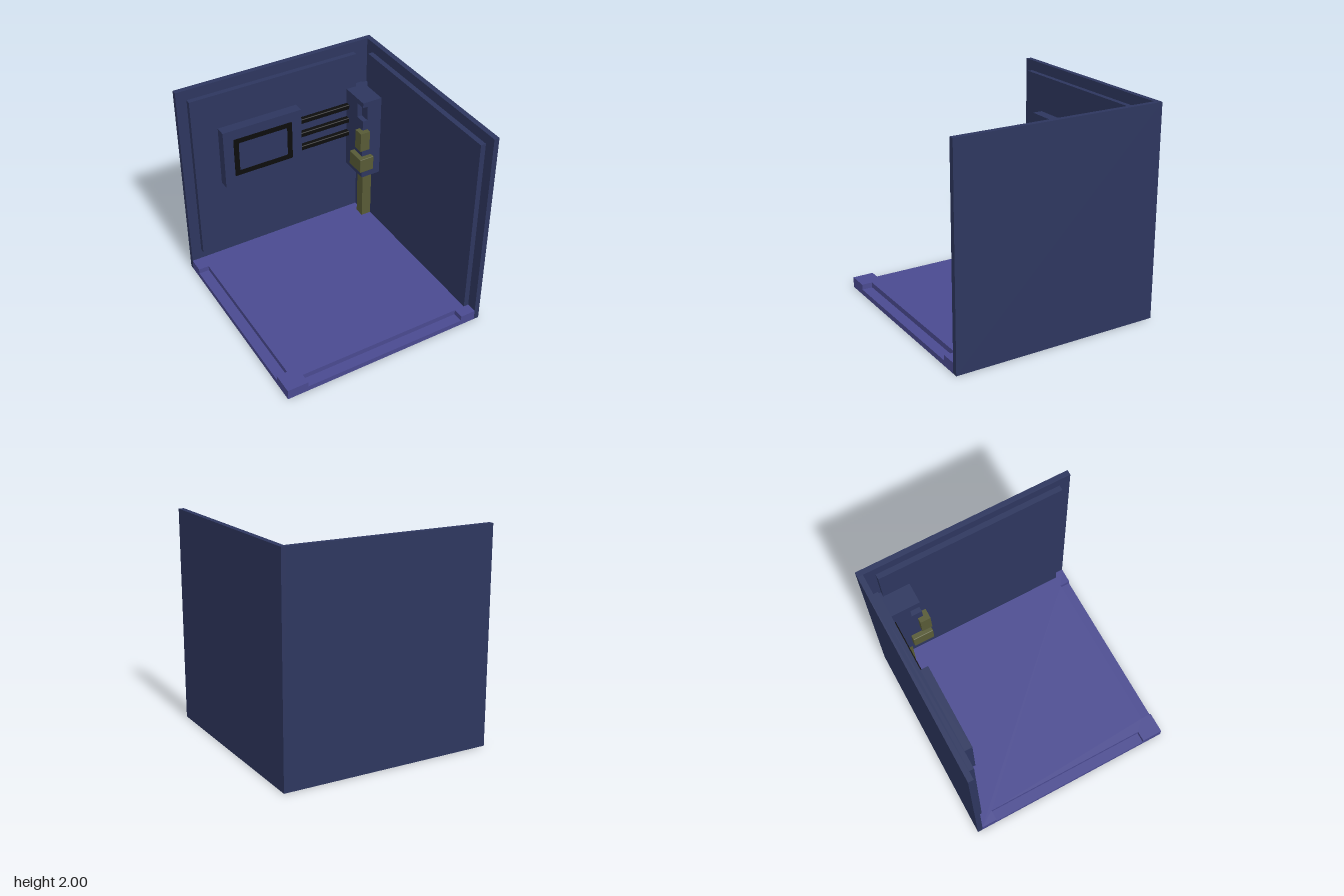
import * as THREE from 'three';
import { RoundedBoxGeometry } from 'three/addons/geometries/RoundedBoxGeometry.js';

const material = (name, color) => {
  const m = new THREE.MeshStandardMaterial({ color });
  m.name = name;
  return m;
};

const outline = (points) => new THREE.Shape(points.map(([x, y]) => new THREE.Vector2(x, y)));

export function createModel() {
  const model = new THREE.Group();
  model.name = 'roomCorner';
  const navy = material('navy wall', 0x2d365e);
  const violet = material('violet floor', 0x4a4a90);
  const olive = material('olive fittings', 0x575a36);
  const black = material('black trim', 0x0d0d0d);

  const add = (name, geometry, mat) => {
    const mesh = new THREE.Mesh(geometry, mat);
    mesh.name = name;
    model.add(mesh);
    return mesh;
  };
  // Box from its limits on each axis, optionally with softened edges
  const box = (name, mat, [x0, x1], [y0, y1], [z0, z1], radius = 0) => {
    const size = [x1 - x0, y1 - y0, z1 - z0];
    const geometry = radius
      ? new RoundedBoxGeometry(...size, 2, radius)
      : new THREE.BoxGeometry(...size);
    add(name, geometry, mat).position.set((x0 + x1) / 2, (y0 + y1) / 2, (z0 + z1) / 2);
  };
  const extrude = (shape, depth) =>
    new THREE.ExtrudeGeometry(shape, { depth, bevelEnabled: false, curveSegments: 3 });

  // Walls with raised panels
  box('backWall', navy, [-1, 0.95], [0, 2], [-1, -0.95]);
  box('sideWall', navy, [0.95, 1], [0, 2], [-1, 1]);
  box('backPanel', navy, [-0.9, 0.8], [0.2, 1.9], [-0.95, -0.9]);
  box('sidePanel', navy, [0.9, 0.95], [0.1, 1.9], [-0.85, 0.9]);
  box('cornerPost', navy, [0.85, 0.95], [0.1, 1.54], [-0.95, -0.85]);

  // Floor: plain slab below, notched layer above
  box('floorBase', violet, [-1, 0.95], [0, 0.05], [-0.95, 1]);
  const floorTop = extrude(outline([
    [-1, -1], [-0.8, -1], [-0.8, -0.9], [0.8, -0.9], [0.8, -1], [0.95, -1],
    [0.95, 0.95], [-1, 0.95], [-1, 0.8], [-0.9, 0.8], [-0.9, -0.8], [-1, -0.8],
  ]), 0.05);
  floorTop.rotateX(-Math.PI / 2);
  add('floorTop', floorTop, violet).position.y = 0.05;

  // Wall screen with a flat rounded border
  box('screenCase', navy, [-0.65, 0.15], [0.95, 1.55], [-0.9, -0.8]);
  const roundedRect = (target, x0, x1, y0, y1, r) => {
    target.moveTo(x0 + r, y0);
    target.lineTo(x1 - r, y0).quadraticCurveTo(x1, y0, x1, y0 + r);
    target.lineTo(x1, y1 - r).quadraticCurveTo(x1, y1, x1 - r, y1);
    target.lineTo(x0 + r, y1).quadraticCurveTo(x0, y1, x0, y1 - r);
    target.lineTo(x0, y0 + r).quadraticCurveTo(x0, y0, x0 + r, y0);
    return target;
  };
  const border = roundedRect(new THREE.Shape(), -0.55, 0.05, 1.05, 1.45, 0.012);
  border.holes.push(roundedRect(new THREE.Path(), -0.5, 0, 1.1, 1.4, 0.012));
  add('screenBorder', extrude(border, 0.004), black).position.z = -0.8;

  // Cables from the screen to the control box
  for (const y of [1.05, 1.2, 1.35]) {
    box('cable', black, [0.14, 0.71], [y, y + 0.05], [-0.9, -0.85], 0.008);
  }

  // Control box with a notch in its front left edge
  box('controlBoxBack', navy, [0.7, 0.9], [0.7, 1.55], [-0.95, -0.7]);
  const boxFront = extrude(outline([
    [0.7, 0.7], [0.9, 0.7], [0.9, 1.55], [0.7, 1.55],
    [0.7, 1.5], [0.75, 1.5], [0.75, 1.35], [0.7, 1.35],
  ]), 0.1);
  add('controlBoxFront', boxFront, navy).position.z = -0.7;

  // Olive fittings on and below the control box
  box('upperLever', olive, [0.65, 0.75], [1.05, 1.25], [-0.65, -0.55]);
  box('lowerLever', olive, [0.65, 0.8], [0.8, 0.95], [-0.75, -0.55], 0.006);
  box('supportPost', olive, [0.8, 0.9], [0.1, 0.7], [-0.84, -0.74]);

  return model;
}
